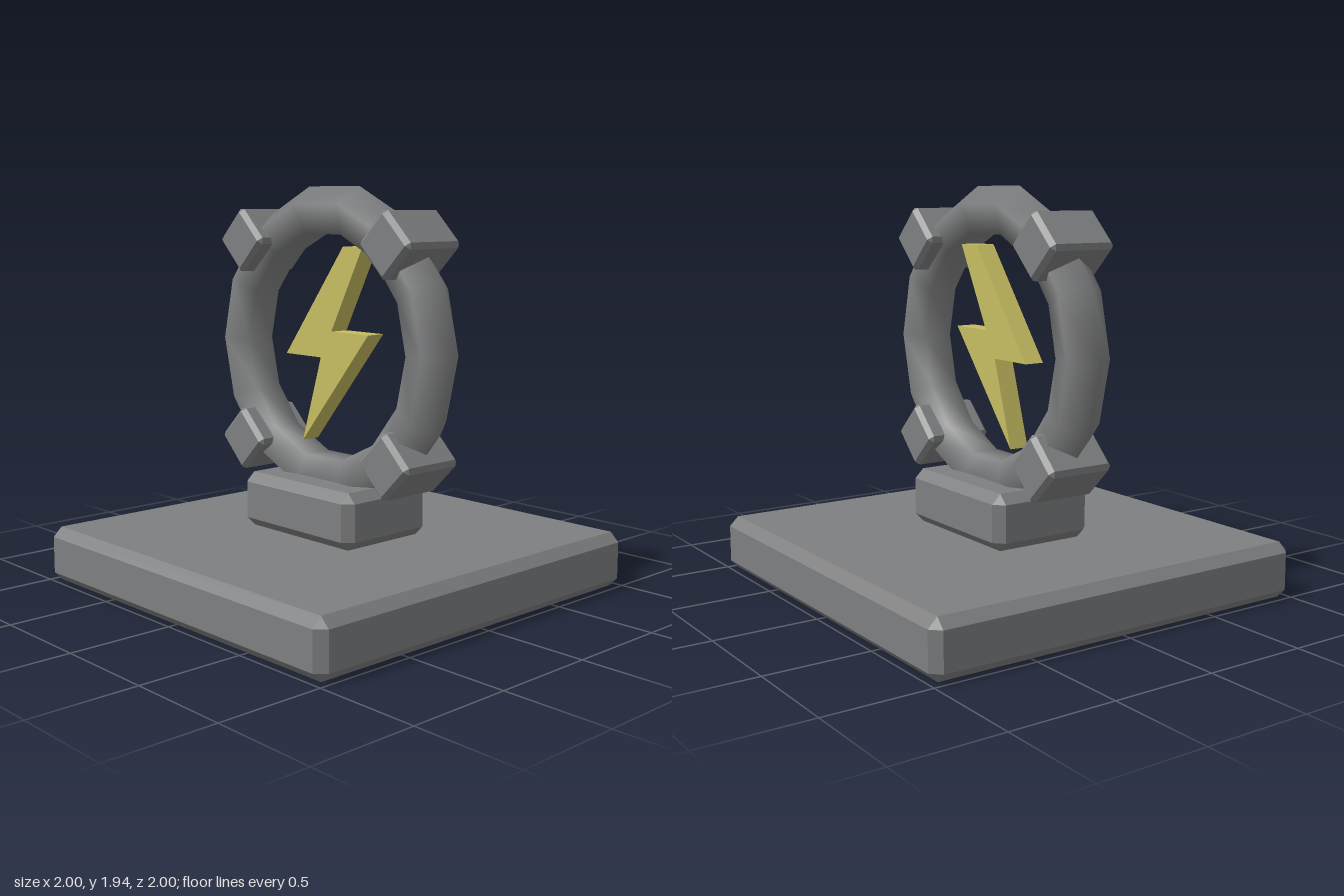
import * as THREE from 'three';
import { ConvexGeometry } from 'three/addons/geometries/ConvexGeometry.js';

const stone = new THREE.MeshStandardMaterial({ color: 0x7e7f80 });
stone.name = 'grey stone';
const gold = new THREE.MeshStandardMaterial({ color: 0xc6bc60 });
gold.name = 'pale gold';

// Box with every edge and corner chamfered by c
function chamferBox(w, h, d, c) {
  const half = [w / 2, h / 2, d / 2];
  const points = [];
  for (const sx of [-1, 1]) for (const sy of [-1, 1]) for (const sz of [-1, 1]) {
    for (let axis = 0; axis < 3; axis++) {
      const p = [sx, sy, sz].map((s, i) => s * (half[i] - (i === axis ? 0 : c)));
      points.push(new THREE.Vector3(...p));
    }
  }
  return new ConvexGeometry(points);
}

export function createModel() {
  const model = new THREE.Group();
  model.name = 'ringMonument';

  function add(name, geometry, material, x, y, z) {
    const mesh = new THREE.Mesh(geometry, material);
    mesh.name = name;
    mesh.position.set(x, y, z);
    model.add(mesh);
    return mesh;
  }

  // Square slab and the block that holds the ring
  add('base', chamferBox(2, 0.27, 2, 0.045), stone, 0, 0.135, 0);
  add('pedestal', chamferBox(0.765, 0.27, 0.54, 0.045), stone, 0, 0.405, 0);

  // Upright low-poly ring with a five-sided section
  const ringY = 1.175;
  add('ring', new THREE.TorusGeometry(0.653, 0.127, 5, 14), stone, 0, ringY, 0);

  // Four clamps on the diagonals
  const clampGeometry = chamferBox(0.238, 0.238, 0.35, 0.022);
  for (const sx of [-1, 1]) for (const sy of [-1, 1]) {
    const clamp = add('clamp', clampGeometry, stone, sx * 0.5, ringY + sy * 0.498, 0);
    clamp.rotation.z = Math.PI / 4;
  }

  // Lightning bolt floating inside the ring
  const outline = [
    [0.115, 1.655], [-0.29, 1.12], [-0.04, 1.12], [-0.17, 0.7],
    [0.285, 1.25], [0.035, 1.25], [0.245, 1.655],
  ];
  const shape = new THREE.Shape(outline.map(([x, y]) => new THREE.Vector2(x, y)));
  const bolt = new THREE.ExtrudeGeometry(shape, { depth: 0.1, bevelEnabled: false });
  add('lightningBolt', bolt, gold, 0, 0, -0.05);

  return model;
}
